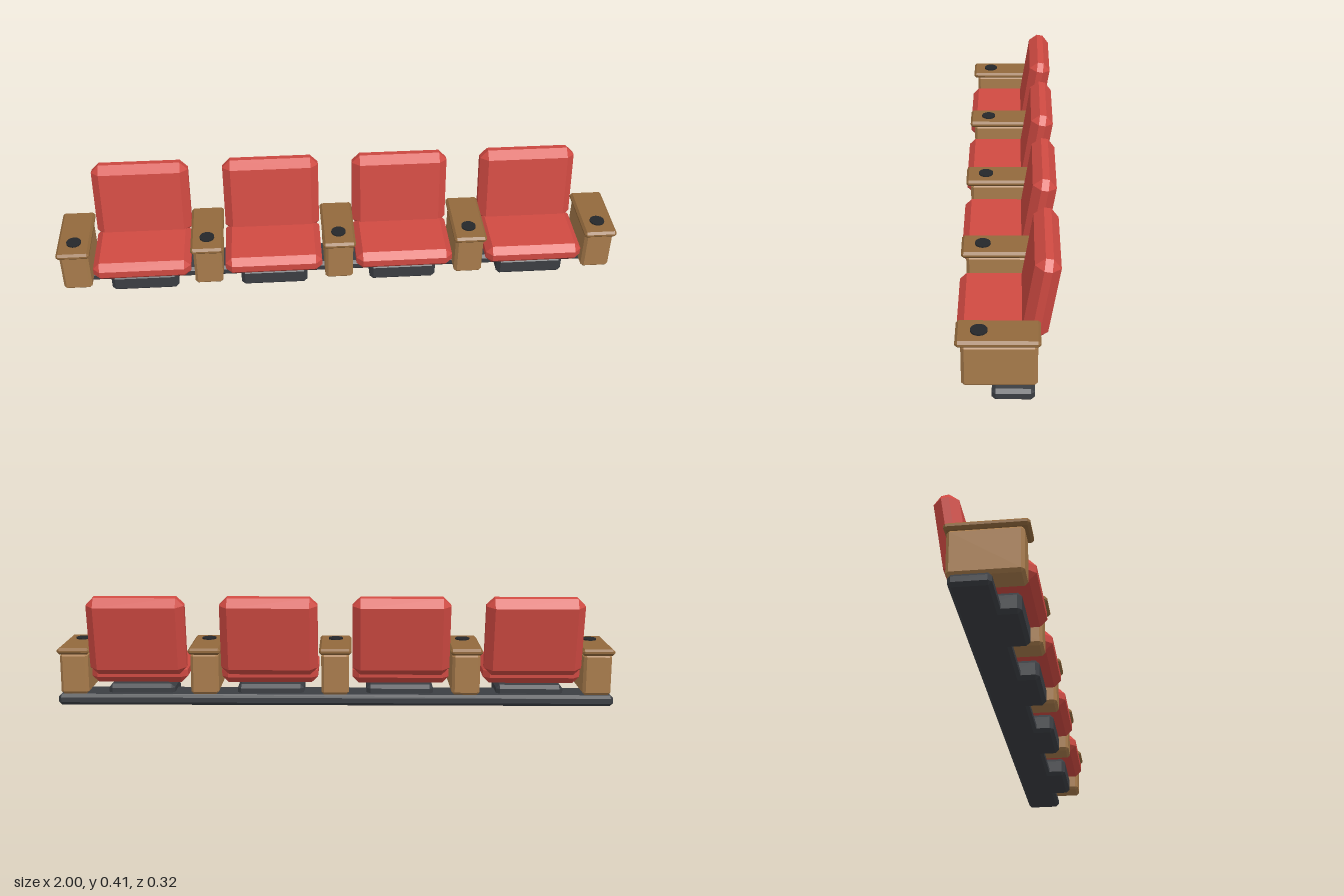
import * as THREE from 'three';
import { ConvexGeometry } from 'three/addons/geometries/ConvexGeometry.js';

const paint = (color) => new THREE.MeshStandardMaterial({ color, flatShading: true });
const red = paint(0xd04a42);
const wood = paint(0xa97c4c);
const darkWood = paint(0x92693c);
const metal = paint(0x3b3e43);
const black = paint(0x25272a);

// Box with every edge cut at 45 degrees: three corner points at each of the eight corners
function chamferBox(w, h, d, c) {
  const points = [];
  for (const sx of [-1, 1]) for (const sy of [-1, 1]) for (const sz of [-1, 1]) {
    for (let axis = 0; axis < 3; axis++) {
      const inset = [c, c, c];
      inset[axis] = 0;
      points.push(new THREE.Vector3(
        sx * (w / 2 - inset[0]), sy * (h / 2 - inset[1]), sz * (d / 2 - inset[2])));
    }
  }
  return new ConvexGeometry(points);
}

function addPart(parent, name, geometry, material, x, y, z) {
  const mesh = new THREE.Mesh(geometry, material);
  mesh.name = name;
  mesh.position.set(x, y, z);
  parent.add(mesh);
  return mesh;
}

export function createModel() {
  const model = new THREE.Group();
  model.name = 'seatRow';

  const seatCount = 4;
  const pitch = 0.468;

  // Floor rail running under the whole row
  addPart(model, 'floorRail', chamferBox(2, 0.04, 0.128, 0.011), metal, 0, 0.02, -0.016);

  // Seats: pedestal, cushion and reclined backrest
  const pedestal = chamferBox(0.24, 0.07, 0.16, 0.013);
  const cushion = chamferBox(0.345, 0.07, 0.248, 0.023);
  const backrest = chamferBox(0.345, 0.287, 0.08, 0.028);
  for (let i = 0; i < seatCount; i++) {
    const seat = new THREE.Group();
    seat.name = 'seat';
    seat.position.x = (i - (seatCount - 1) / 2) * pitch;
    addPart(seat, 'pedestal', pedestal, metal, 0, 0.035, 0.03);
    addPart(seat, 'cushion', cushion, red, 0, 0.12, 0.034);
    addPart(seat, 'backrest', backrest, red, 0, 0.262, -0.0995)
      .rotation.x = THREE.MathUtils.degToRad(-9);
    model.add(seat);
  }

  // Arm consoles between and beside the seats, each with a cup holder
  const consoleBody = chamferBox(0.1, 0.15, 0.227, 0.01);
  const consoleTop = chamferBox(0.116, 0.023, 0.252, 0.008);
  const cup = new THREE.CylinderGeometry(0.026, 0.026, 0.012, 16);
  for (let i = 0; i <= seatCount; i++) {
    const armConsole = new THREE.Group();
    armConsole.name = 'armConsole';
    armConsole.position.x = (i - seatCount / 2) * pitch;
    addPart(armConsole, 'consoleBody', consoleBody, wood, 0, 0.118, 0.025);
    addPart(armConsole, 'consoleTop', consoleTop, darkWood, 0, 0.2015, 0.029);
    addPart(armConsole, 'cupHolder', cup, black, 0, 0.212, 0.085);
    model.add(armConsole);
  }

  return model;
}
